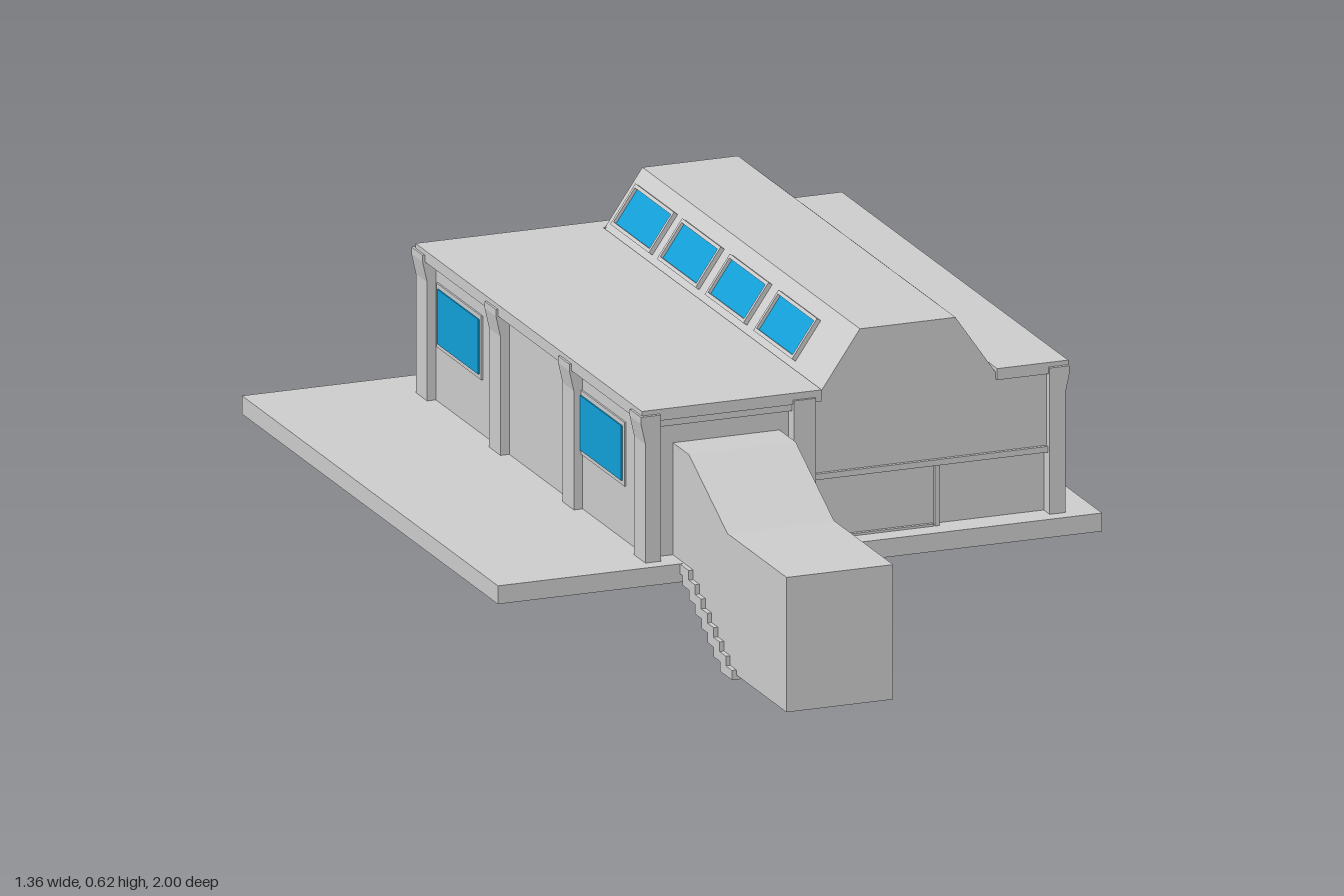
import * as THREE from 'three';

const grey = new THREE.MeshStandardMaterial({ color: 0xcccccc, flatShading: true });
const blue = new THREE.MeshStandardMaterial({ color: 0x109fd8, flatShading: true });

export function createModel() {
  const root = new THREE.Group();

  // Box given by its limits on each axis
  function box(name, x0, x1, y0, y1, z0, z1, mat = grey, parent = root) {
    const m = new THREE.Mesh(new THREE.BoxGeometry(x1 - x0, y1 - y0, z1 - z0), mat);
    m.position.set((x0 + x1) / 2, (y0 + y1) / 2, (z0 + z1) / 2);
    m.name = name;
    parent.add(m);
    return m;
  }
  // Flat outline pushed along z
  function prism(name, pts, depth, parent = root) {
    const shape = new THREE.Shape(pts.map(p => new THREE.Vector2(...p)));
    const m = new THREE.Mesh(new THREE.ExtrudeGeometry(shape, { depth, bevelEnabled: false }), grey);
    m.name = name;
    parent.add(m);
    return m;
  }

  // Ground slab, wall core and flat roof
  box('foundation', -0.68, 0.68, 0.13, 0.17, -1, 0.43);
  box('walls', -0.315, 0.59, 0.165, 0.48, -0.86, 0.365);
  box('roofRight', -0.34, 0.065, 0.475, 0.5, -0.875, 0.39);
  box('roofLeft', 0.46, 0.62, 0.475, 0.5, -0.875, 0.39);
  box('roofBackEdge', 0.04, 0.48, 0.475, 0.5, -0.875, -0.83);

  // Raised roof whose front runs down into the upper wall
  prism('raisedRoof', [[0.05, 0.315], [0.575, 0.315], [0.575, 0.48], [0.46, 0.48], [0.46, 0.49],
    [0.37, 0.62], [0.155, 0.62], [0.065, 0.49], [0.065, 0.48], [0.05, 0.48]], 1.215)
    .position.z = -0.835;

  // Side pillars, flared towards the roof
  const flare = [[-0.035, 0.165], [0, 0.165], [0, 0.43], [0.01, 0.475], [0.01, 0.49], [-0.035, 0.49]];
  for (const z of [0.335, -0.065, -0.475, -0.885]) {
    prism('pillarLeft', flare, 0.063).position.set(0.61, 0, z);
    const p = prism('pillarRight', flare, 0.063);
    p.rotation.y = Math.PI;
    p.position.set(-0.335, 0, z + 0.063);
  }
  box('pillarFront', 0, 0.05, 0.165, 0.485, 0.35, 0.396);
  box('pillarBack', 0, 0.045, 0.165, 0.49, -0.888, -0.85);

  // Front: beam, door, sill and lower panels
  box('frontBeam', -0.31, 0.02, 0.46, 0.48, 0.355, 0.385);
  box('frontSill', 0.05, 0.575, 0.303, 0.316, 0.355, 0.388);
  box('garageDoor', 0.05, 0.322, 0.17, 0.303, 0.355, 0.376);
  box('garagePost', 0.322, 0.332, 0.17, 0.303, 0.355, 0.384);
  box('garageThreshold', 0.05, 0.32, 0.165, 0.175, 0.355, 0.384);

  // Left side: lower panels, rail and door
  box('sidePanel', 0.58, 0.597, 0.165, 0.305, -0.45, 0.35);
  box('sideRail', 0.58, 0.606, 0.307, 0.317, -0.53, 0.18);
  box('sideDoor', 0.58, 0.599, 0.165, 0.31, -0.78, -0.58);

  // Right side windows with frames
  for (const z of [-0.8, 0]) {
    box('sideWindowFrame', -0.319, -0.3, 0.29, 0.43, z - 0.01, z + 0.24);
    box('sideWindow', -0.322, -0.3, 0.3, 0.42, z, z + 0.23, blue);
  }

  // Back: strip windows, plinth and vent
  box('backWindowLeft', 0.06, 0.4, 0.39, 0.43, -0.864, -0.85, blue);
  box('backWindowRight', -0.295, -0.005, 0.355, 0.4, -0.864, -0.85, blue);
  box('backPlinth', -0.31, 0.58, 0.165, 0.2, -0.872, -0.85);
  box('backVent', 0.525, 0.57, 0.22, 0.345, -0.895, -0.85);

  // Framed skylights along both slopes of the raised roof
  const tilt = Math.atan2(0.13, 0.09);
  for (const side of [-1, 1]) {
    for (const z of [0.103, -0.168, -0.435, -0.696]) {
      const g = new THREE.Group();
      g.name = 'skylight';
      box('skylightGlass', -0.043, 0.043, -0.01, 0.003, -0.1, 0.1, blue, g);
      for (const s of [-1, 1]) {
        box('skylightBar', s * 0.046 - 0.004, s * 0.046 + 0.004, -0.01, 0.01, -0.108, 0.108, grey, g);
        box('skylightEnd', -0.05, 0.05, -0.01, 0.01, s * 0.104 - 0.004, s * 0.104 + 0.004, grey, g);
      }
      g.position.set(0.2625 + side * 0.156, 0.55, z);
      g.rotation.z = -side * tilt;
      root.add(g);
    }
  }

  // Covered entrance passage, outline drawn in (z, y) and turned to run along x
  const passage = prism('entrancePassage', [[-1, 0.01], [-0.69, 0.01], [-0.43, 0.165], [-0.36, 0.165],
    [-0.36, 0.415], [-0.455, 0.415], [-0.67, 0.305], [-1, 0.305]], 0.24);
  passage.rotation.y = Math.PI / 2;
  passage.position.x = -0.26;

  // Steps under the passage
  for (let i = 0; i < 8; i++) {
    const z = 0.72 - i * 0.0345;
    box('step', -0.27, -0.01, i * 0.0212, (i + 1) * 0.0212, z - 0.068, z);
  }
  return root;
}
